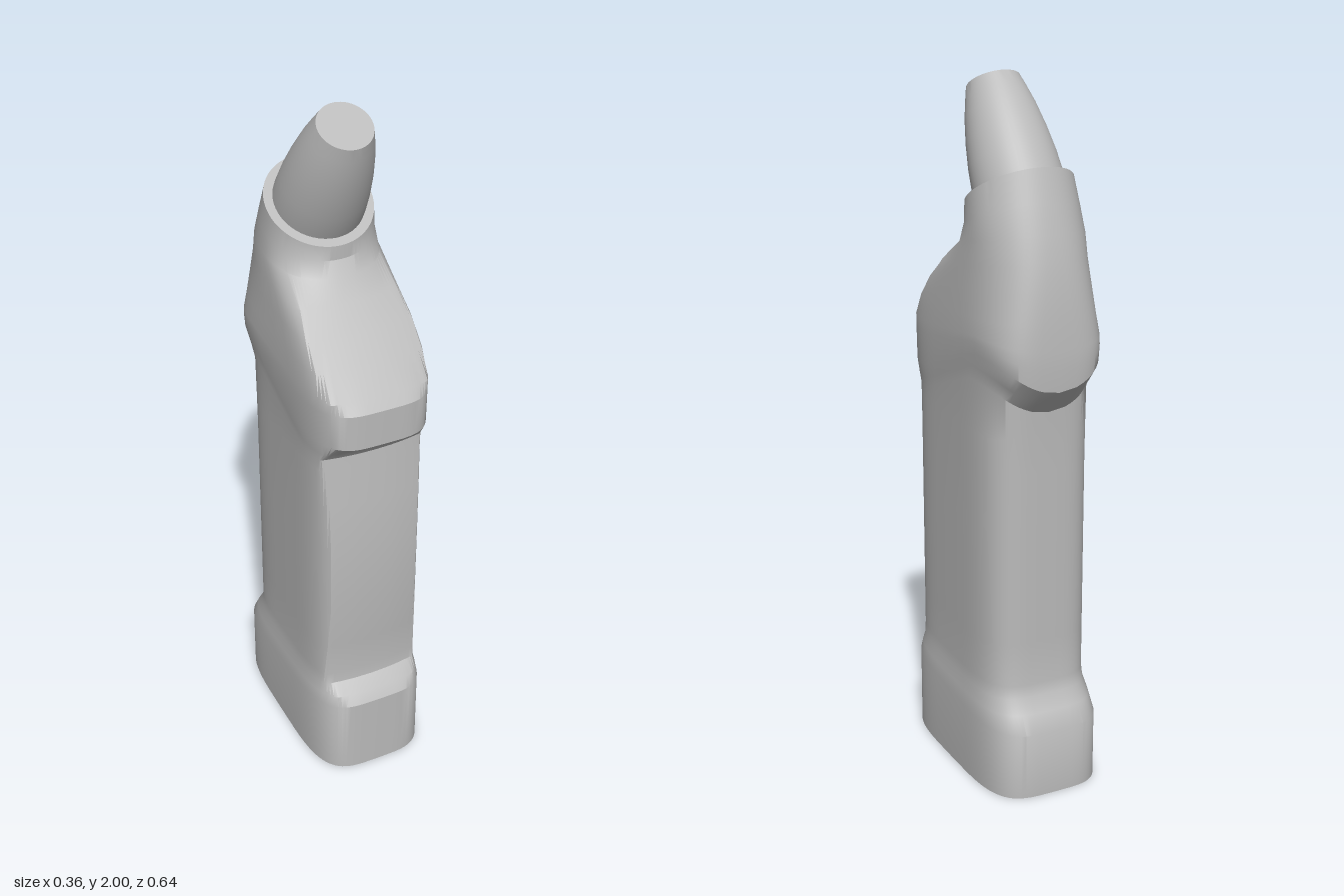
import * as THREE from 'three';
import { toCreasedNormals } from 'three/addons/utils/BufferGeometryUtils.js';

const SEGMENTS = 72;
const clamp = THREE.MathUtils.clamp;

// Signed power, for superellipse outlines
const spow = (c, e) => Math.sign(c) * Math.abs(c) ** e;

// One closed ring spanning from a back point to a front point.
// n: squareness, clip: z where the front is planed off, lift: raises the flanks
function ring({ f, b, w, n = 4, clip = 9, lift = 0 }) {
  const points = [];
  for (let j = 0; j < SEGMENTS; j++) {
    const t = (j / SEGMENTS) * Math.PI * 2;
    const u = spow(Math.cos(t), 2 / n);
    let v = spow(Math.sin(t), 2 / n);
    const limit = clip - 0.02 * u * u;
    v = Math.min(v, ((limit - b[0]) / (f[0] - b[0])) * 2 - 1);
    const k = (v + 1) / 2;
    const y = b[1] + (f[1] - b[1]) * k + lift * u * u * clamp(0.5 - v, 0, 1);
    points.push([u * w, y, b[0] + (f[0] - b[0]) * k]);
  }
  return points;
}

// Skin over a list of rings, capped at both ends
function loft(sections) {
  const rings = sections.map(ring);
  const position = rings.flat(2);
  const index = [];
  const id = (i, j) => i * SEGMENTS + (j % SEGMENTS);
  const last = rings.length - 1;
  const base = rings.length * SEGMENTS;
  for (const s of [sections[0], sections[last]]) {
    position.push(0, (s.f[1] + s.b[1]) / 2, (s.f[0] + s.b[0]) / 2);
  }
  for (let j = 0; j < SEGMENTS; j++) {
    for (let i = 0; i < last; i++) {
      index.push(id(i, j), id(i + 1, j), id(i, j + 1));
      index.push(id(i, j + 1), id(i + 1, j), id(i + 1, j + 1));
    }
    index.push(base, id(0, j), id(0, j + 1));
    index.push(base + 1, id(last, j + 1), id(last, j));
  }
  const g = new THREE.BufferGeometry();
  g.setAttribute('position', new THREE.Float32BufferAttribute(position, 3));
  g.setIndex(index);
  return toCreasedNormals(g, 0.55);
}

export function createModel() {
  const group = new THREE.Group();
  const grey = new THREE.MeshStandardMaterial({ color: 0xbababa });
  grey.name = 'grey';

  // f and b are [z, y] of the front and back of each section
  const body = new THREE.Mesh(loft([
    // recess under the foot
    { f: [0.25, 0.05], b: [-0.25, 0.05], w: 0.115 },
    { f: [0.265, 0], b: [-0.265, 0], w: 0.13 },
    // foot
    { f: [0.32, 0], b: [-0.32, 0], w: 0.18 },
    { f: [0.32, 0.245], b: [-0.32, 0.195], w: 0.18 },
    { f: [0.31, 0.275], b: [-0.29, 0.245], w: 0.175, clip: 0.3 },
    { f: [0.3, 0.305], b: [-0.262, 0.285], w: 0.169, clip: 0.265 },
    // grip with planed, bowed front
    { f: [0.3, 0.34], b: [-0.255, 0.32], w: 0.167, clip: 0.262 },
    { f: [0.3, 0.45], b: [-0.255, 0.45], w: 0.167, clip: 0.27 },
    { f: [0.3, 0.6], b: [-0.255, 0.6], w: 0.167, clip: 0.279 },
    { f: [0.3, 0.8], b: [-0.255, 0.8], w: 0.167, clip: 0.279 },
    { f: [0.3, 0.95], b: [-0.255, 0.95], w: 0.167, clip: 0.267 },
    { f: [0.3, 1.07], b: [-0.255, 1.05], w: 0.168, clip: 0.255 },
    // collar lip and back bulge
    { f: [0.3, 1.1], b: [-0.257, 1.12], w: 0.169, clip: 0.252, lift: 0.09 },
    { f: [0.31, 1.125], b: [-0.285, 1.15], w: 0.171, clip: 0.27, lift: 0.1 },
    { f: [0.32, 1.165], b: [-0.318, 1.19], w: 0.175, lift: 0.1 },
    { f: [0.32, 1.27], b: [-0.32, 1.25], w: 0.177, lift: 0.06 },
    // sloped shoulder
    { f: [0.32, 1.3], b: [-0.318, 1.3], w: 0.177, clip: 0.295, lift: 0.03 },
    { f: [0.31, 1.36], b: [-0.312, 1.38], w: 0.174, n: 3.5, clip: 0.235 },
    { f: [0.27, 1.42], b: [-0.303, 1.46], w: 0.17, n: 3, clip: 0.175 },
    { f: [0.18, 1.48], b: [-0.29, 1.53], w: 0.165, n: 2.6, clip: 0.115 },
    // round neck with tilted mouth
    { f: [0.07, 1.54], b: [-0.273, 1.6], w: 0.16, n: 2.3 },
    { f: [0.045, 1.58], b: [-0.247, 1.68], w: 0.155, n: 2.1 },
    { f: [0.045, 1.62], b: [-0.215, 1.77], w: 0.15, n: 2 },
  ]), grey);
  body.name = 'body';

  // Tapered nozzle leaning forward out of the neck
  const profile = [[0.125, -0.02], [0.125, 0.02], [0.121, 0.08], [0.112, 0.15],
    [0.099, 0.22], [0.086, 0.27], [0.075, 0.308], [0, 0.308]];
  const nozzle = new THREE.Mesh(toCreasedNormals(new THREE.LatheGeometry(
    profile.map(([r, y]) => new THREE.Vector2(r, y)), 48), 0.6), grey);
  nozzle.name = 'nozzle';
  nozzle.position.set(0, 1.695, -0.085);
  nozzle.rotation.x = Math.PI / 6;

  group.add(body, nozzle);
  return group;
}
